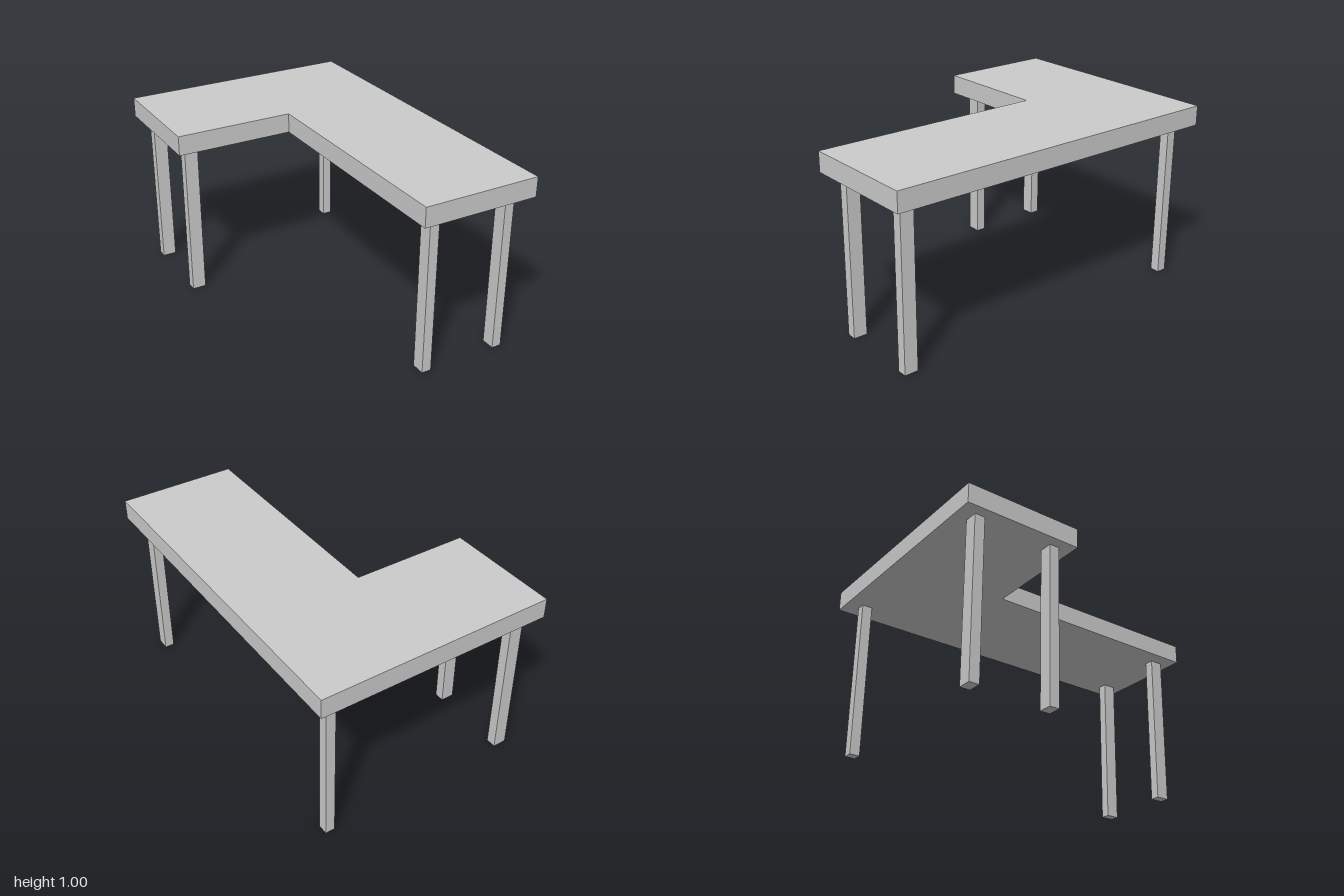
import * as THREE from 'three';

export function createModel() {
  const group = new THREE.Group();
  const material = new THREE.MeshStandardMaterial({ color: 0xcccccc, flatShading: true });
  const underside = 0.892, topHeight = 1.003;

  // L-shaped top, drawn as (x, -z) and laid flat
  const outline = [[-0.667, 1], [-0.667, 0.335], [0, 0.335], [0, -1], [0.667, -1], [0.667, 1]];
  const shape = new THREE.Shape(outline.map(([x, y]) => new THREE.Vector2(x, y)));
  const topGeometry = new THREE.ExtrudeGeometry(shape, { depth: topHeight - underside, bevelEnabled: false });
  topGeometry.rotateX(-Math.PI / 2);
  const top = new THREE.Mesh(topGeometry, material);
  top.name = 'tableTop';
  top.position.y = underside;
  group.add(top);

  // Five legs: name, centre x, centre z, width, depth
  const legs = [
    ['frontRightLeg', 0.106, 0.896, 0.054, 0.077],
    ['frontLeftLeg', 0.56, 0.896, 0.054, 0.077],
    ['backLeftLeg', 0.56, -0.892, 0.054, 0.057],
    ['backRightLeg', -0.569, -0.892, 0.077, 0.057],
    ['innerRightLeg', -0.569, -0.438, 0.077, 0.057],
  ];
  for (const [name, x, z, width, depth] of legs) {
    const leg = new THREE.Mesh(new THREE.BoxGeometry(width, underside, depth), material);
    leg.name = name;
    leg.position.set(x, underside / 2, z);
    group.add(leg);
  }
  return group;
}
